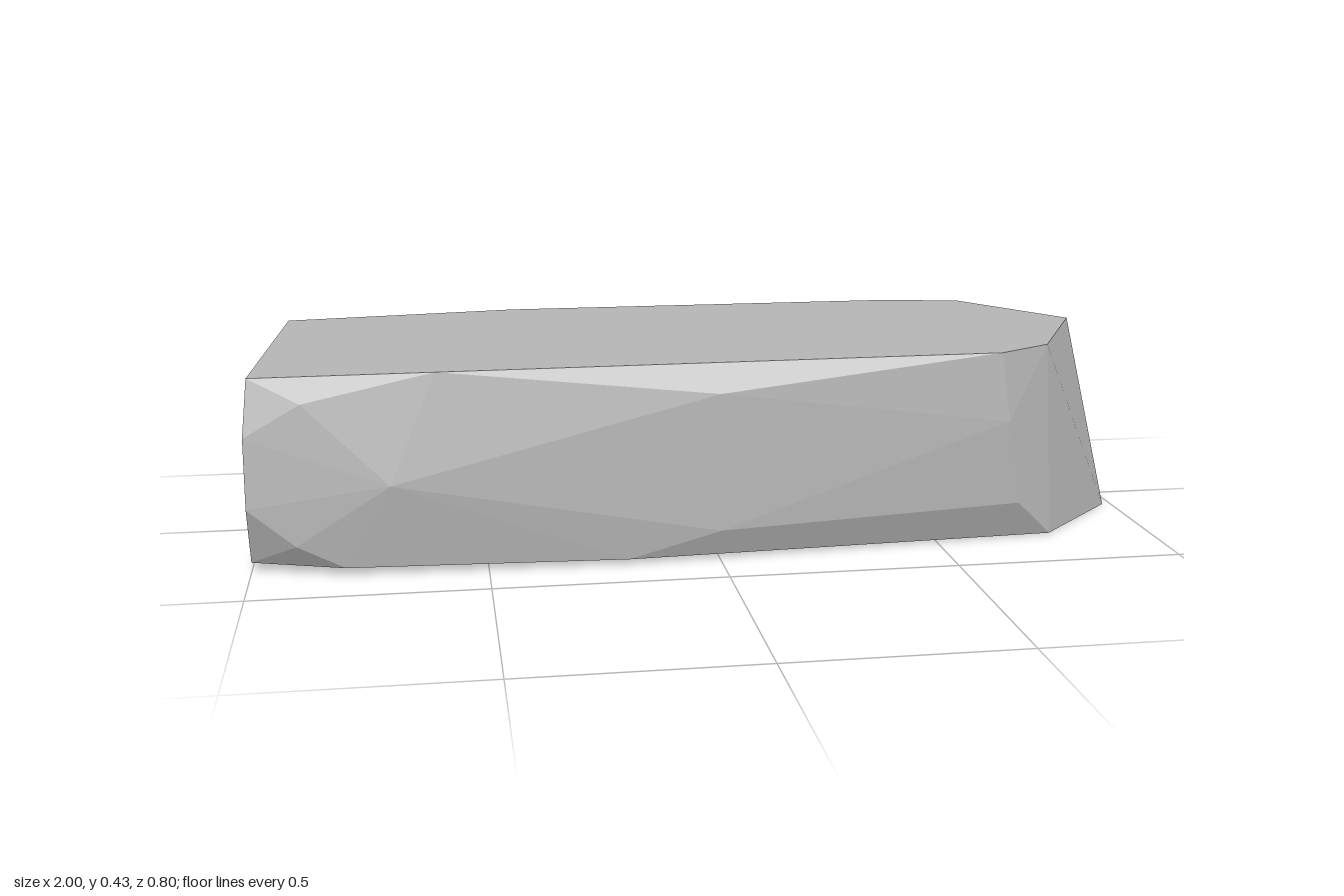
import * as THREE from 'three';
import { ConvexGeometry } from 'three/addons/geometries/ConvexGeometry.js';

export function createModel() {
  const group = new THREE.Group();
  group.name = 'facetedBlock';
  const stone = new THREE.MeshStandardMaterial({ color: 0xb4b4b4 });
  stone.name = 'stone grey';

  // flat top outline, as [x, z]
  const top = [[-0.6, 0.362], [0.63, 0.347], [0.76, 0.27], [0.92, -0.04],
    [0.73, -0.315], [0.55, -0.355], [-0.4, -0.36]];
  // base outline, tilted very slightly down towards the bow
  const base = [[-1, 0.31], [-0.8, 0.372], [-0.2, 0.386], [0.77, 0.31], [0.98, 0.1], [1, -0.078],
    [0.93, -0.18], [0.8, -0.295], [0.64, -0.36], [0, -0.375], [-0.85, -0.36], [-1, -0.33]];
  // bulging corners of the front, back and blunt end
  const sides = [
    [-0.99, 0.418, 0.3], [-0.945, 0.42, -0.355],
    [-1, 0.3, 0.345], [-1, 0.15, 0.36],
    [-0.88, 0.37, 0.352], [-0.9, 0.07, 0.375], [-0.7, 0.2, 0.4],
    [0, 0.37, 0.386], [0, 0.07, 0.396], [0.65, 0.28, 0.36], [0.68, 0.09, 0.353],
    [-0.92, 0.35, -0.382], [-0.88, 0.2, -0.396], [-0.9, 0.07, -0.384],
    [-0.3, 0.39, -0.386], [-0.2, 0.25, -0.401], [-0.1, 0.15, -0.4],
    [0.3, 0.3, -0.387], [0.64, 0.2, -0.37],
  ];

  const points = [
    ...top.map(([x, z]) => new THREE.Vector3(x, 0.432, z)),
    ...base.map(([x, z]) => new THREE.Vector3(x, 0.01 - 0.01 * x, z)),
    ...sides.map((p) => new THREE.Vector3(...p)),
  ];
  const block = new THREE.Mesh(new ConvexGeometry(points), stone);
  block.name = 'block';
  group.add(block);
  return group;
}
